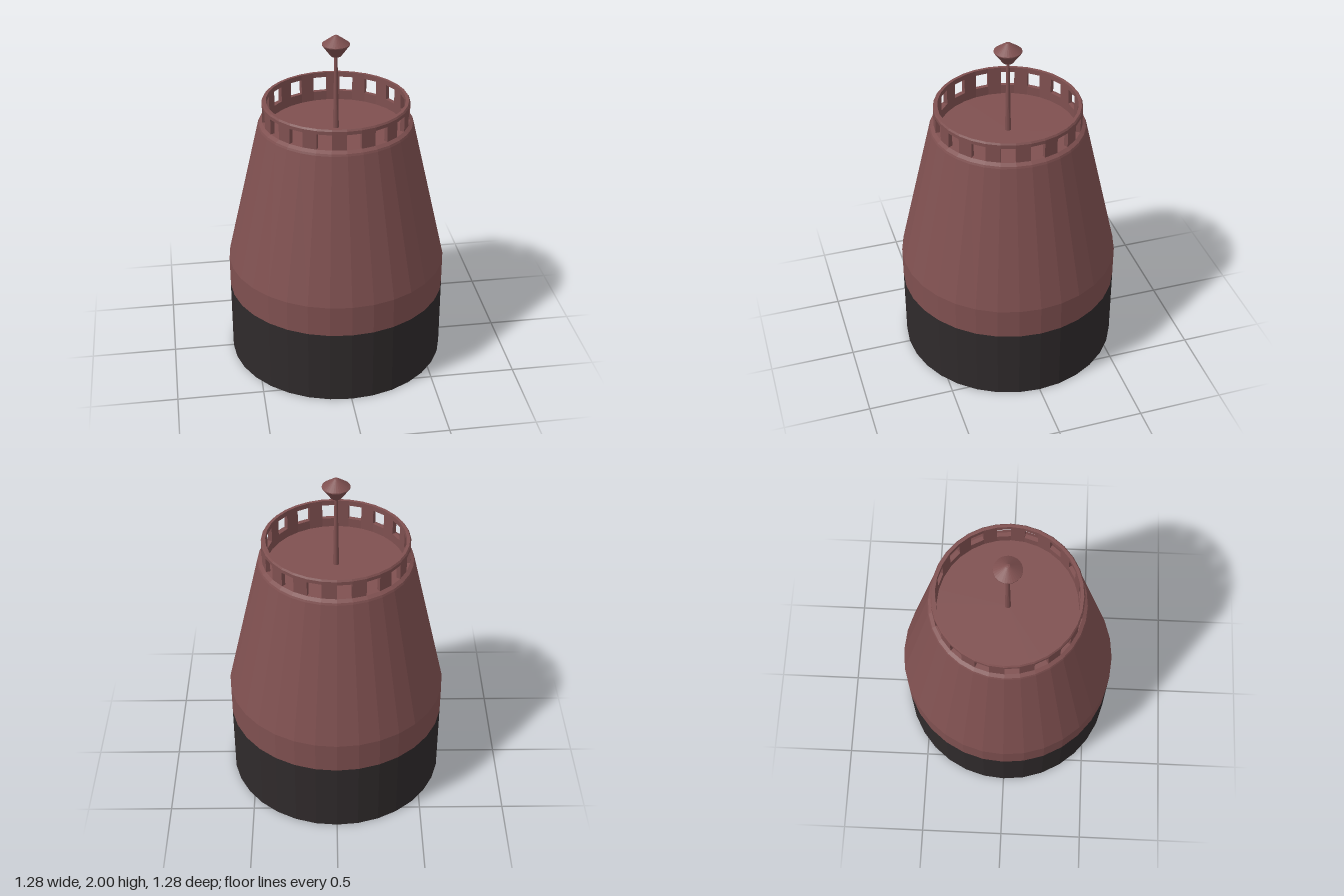
import * as THREE from 'three';

const SIDES = 32;
const STEP = (Math.PI * 2) / SIDES;

export function createModel() {
  const group = new THREE.Group();
  const red = new THREE.MeshStandardMaterial({ color: 0x7f5050 });
  red.name = 'dull red';
  const black = new THREE.MeshStandardMaterial({ color: 0x2f2a2b });
  black.name = 'soft black';

  function add(name, geometry, material) {
    const mesh = new THREE.Mesh(geometry, material);
    mesh.name = name;
    group.add(mesh);
    return mesh;
  }

  // Faceted solid of revolution; the profile runs up the outside
  function turned(name, profile, material) {
    const points = profile.map(([r, y]) => new THREE.Vector2(r, y));
    const geometry = new THREE.LatheGeometry(points, SIDES).toNonIndexed();
    geometry.computeVertexNormals();
    return add(name, geometry, material);
  }

  // Dark lower hull with closed bottom
  turned('lowerHull', [[0, 0], [0.64, 0], [0.64, 0.445]], black);

  // Tapered body with a chamfered shoulder and a sunken deck
  turned('taperedBody', [
    [0.64, 0.445], [0.64, 0.63], [0.445, 1.475], [0.44, 1.487],
    [0.42, 1.5], [0.395, 1.5], [0.395, 1.445], [0, 1.445],
  ], red);

  // Top rail
  turned('topRail', [
    [0.395, 1.59], [0.42, 1.59], [0.42, 1.61],
    [0.413, 1.62], [0.395, 1.62], [0.395, 1.59],
  ], red);

  // Posts fill every second facet, leaving open windows between them
  const corner = (r, a) => new THREE.Vector2(r * Math.sin(a), -r * Math.cos(a));
  const plan = new THREE.Shape([
    corner(0.395, STEP), corner(0.42, STEP),
    corner(0.42, 2 * STEP), corner(0.395, 2 * STEP),
  ]);
  const post = new THREE.ExtrudeGeometry(plan, { depth: 0.09, bevelEnabled: false });
  post.rotateX(-Math.PI / 2).translate(0, 1.5, 0);
  for (let i = 0; i < SIDES / 2; i++) {
    add('railPost', post, red).rotation.y = i * 2 * STEP;
  }

  // Mast and lantern
  turned('mast', [[0.017, 1.445], [0.009, 1.88]], red);
  turned('lantern', [
    [0, 1.88], [0.03, 1.88], [0.078, 1.945], [0.078, 1.95], [0.012, 1.998], [0, 2],
  ], red);

  return group;
}
